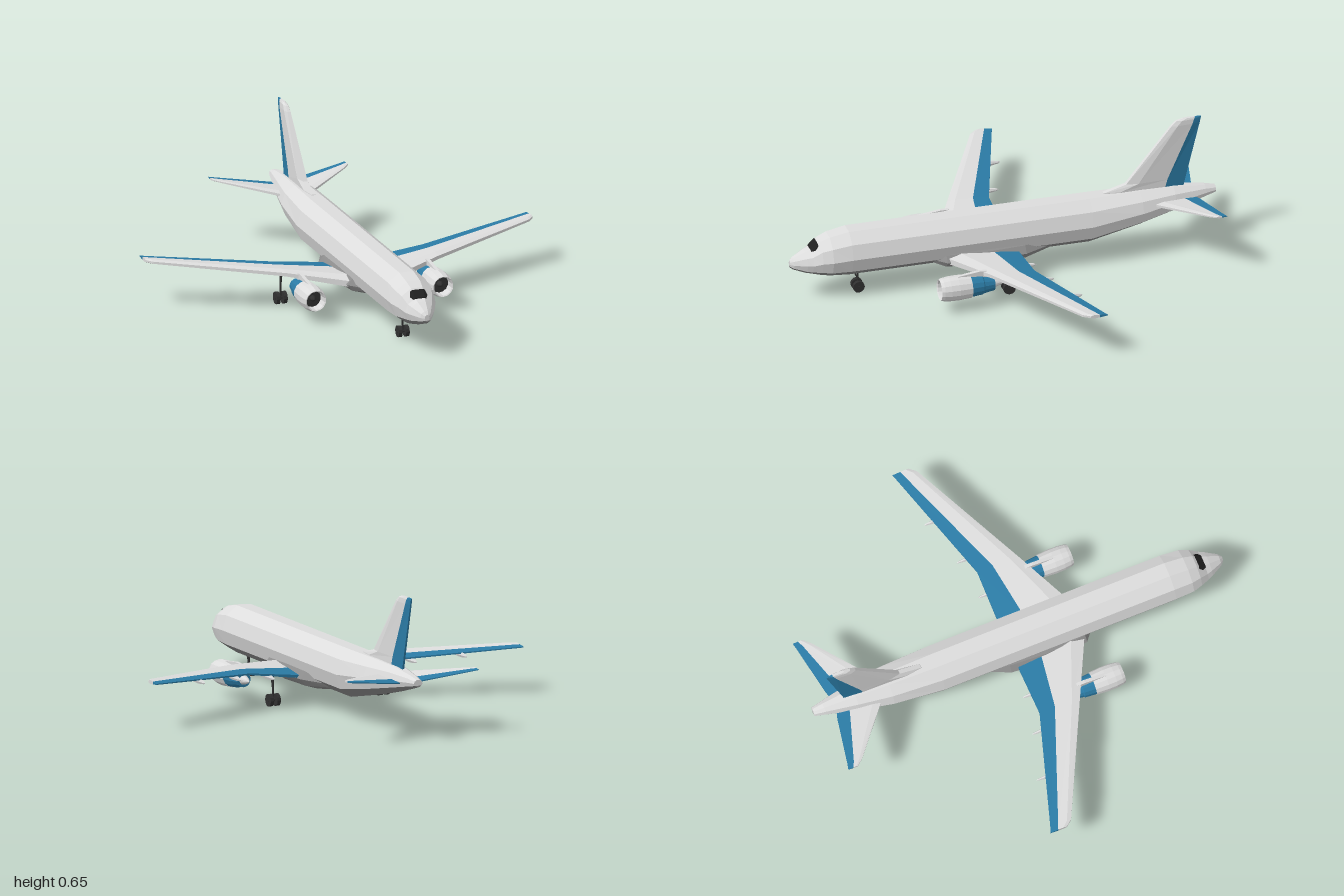
import * as THREE from 'three';

const mat = (name, color) => Object.assign(new THREE.MeshStandardMaterial({ color }), { name });
const V = (x, y, z) => new THREE.Vector3(x, y, z);

// Faceted normals for any geometry
function facet(geo) {
  const g = geo.index ? geo.toNonIndexed() : geo;
  g.computeVertexNormals();
  return g;
}

// Closed solid through rings of equal point count; faces are turned outward
function loft(rings) {
  const tris = [];
  const n = rings[0].length;
  for (let i = 0; i < rings.length - 1; i++) {
    for (let j = 0; j < n; j++) {
      const k = (j + 1) % n;
      const a = rings[i][j], b = rings[i][k], c = rings[i + 1][k], d = rings[i + 1][j];
      tris.push([a, b, c], [a, c, d]);
    }
  }
  const first = rings[0], last = rings[rings.length - 1];
  for (let j = 1; j < n - 1; j++) {
    tris.push([first[0], first[j + 1], first[j]], [last[0], last[j], last[j + 1]]);
  }
  const o = first[0];
  let volume = 0;
  for (const [a, b, c] of tris) {
    volume += a.clone().sub(o).dot(b.clone().sub(o).cross(c.clone().sub(o)));
  }
  if (volume < 0) tris.forEach((t) => t.reverse());
  return facet(new THREE.BufferGeometry().setFromPoints(tris.flat()));
}

// Ten-sided body cross-section with a flat top
const SIDES = 10;
function bodyPoint([z, hw, top, bottom], k) {
  const a = (k + 0.5) * Math.PI * 2 / SIDES;
  const hh = (top - bottom) / 2;
  return V(hw * Math.sin(a), (top + bottom) / 2 + hh * Math.cos(a) / Math.cos(Math.PI / SIDES), z);
}
const ringOf = (corners) => (s) => corners.map((k) => bodyPoint(s, k));
const upperRing = ringOf([6, 7, 8, 9, 0, 1, 2, 3]);
const lowerRing = ringOf([3, 4, 5, 6]);
const fullRing = ringOf([0, 1, 2, 3, 4, 5, 6, 7, 8, 9]);

// Flying surface: sections are [span, height, leading z, split z, trailing z, thickness]
function surface(sections, place) {
  const ring = (fn) => sections.map((s) => fn(s).map(([o, z]) => place(s[0], s[1], o, z)));
  const front = ring(([, , le, split, te, t]) => {
    const c = le - te;
    return [[0.25 * t, le], [0.5 * t, le - 0.2 * c], [0.36 * t, split],
      [-0.36 * t, split], [-0.5 * t, le - 0.2 * c], [-0.25 * t, le]];
  });
  const rear = ring(([, , , split, te, t]) =>
    [[0.36 * t, split], [0.12 * t, te], [-0.12 * t, te], [-0.36 * t, split]]);
  return [loft(front), loft(rear)];
}

export function createModel() {
  const model = new THREE.Group();
  model.name = 'airliner';
  const grey = mat('bodyGrey', 0xdcdcdc);
  const bellyGrey = mat('bellyGrey', 0x8c8c8c);
  const blue = mat('trimBlue', 0x2b7ba5);
  const black = mat('glassBlack', 0x202020);
  const dark = mat('gearDark', 0x303030);

  const add = (name, geo, material, parent = model) => {
    const m = new THREE.Mesh(geo, material);
    m.name = name;
    parent.add(m);
    return m;
  };

  // Fuselage: z, half width, top, bottom; darker underside
  const sill = [0.905, 0.072, 0.25, 0.13], brow = [0.865, 0.09, 0.287, 0.12];
  const hull = [
    [1, 0.012, 0.198, 0.165], [0.985, 0.028, 0.212, 0.155], [0.93, 0.06, 0.24, 0.135],
    sill, brow, [0.82, 0.105, 0.305, 0.112], [0.73, 0.11, 0.322, 0.105],
    [-0.4, 0.11, 0.322, 0.105], [-0.64, 0.095, 0.322, 0.157], [-0.8, 0.068, 0.317, 0.198],
    [-0.95, 0.034, 0.299, 0.24], [-1, 0.022, 0.288, 0.255],
  ];
  add('fuselage', loft(hull.map(upperRing)), grey);
  add('fuselageBelly', loft(hull.map(lowerRing)), bellyGrey);

  // Belly fairing
  add('bellyFairing', loft([
    [0.34, 0.06, 0.16, 0.106], [0.29, 0.12, 0.185, 0.093], [0.1, 0.138, 0.185, 0.085],
    [-0.08, 0.124, 0.185, 0.085], [-0.22, 0.06, 0.16, 0.106],
  ].map(fullRing)), bellyGrey);

  // Windscreen: thin plate wrapped over the nose facets, narrower at its edges
  const paneRing = ([t, wrap]) => {
    const s = sill.map((v, i) => THREE.MathUtils.lerp(v, brow[i], t));
    const [l, r] = [bodyPoint(s, 9), bodyPoint(s, 0)];
    const outer = [l.clone().lerp(bodyPoint(s, 8), wrap), l, r, r.clone().lerp(bodyPoint(s, 1), wrap)];
    const lift = (d) => outer.map((v) => v.clone().add(V(0, d, d)));
    return [...lift(0.003), ...lift(-0.002).reverse()];
  };
  add('windscreen', loft([[0.02, 0.25], [0.4, 0.42], [0.8, 0.22]].map(paneRing)), black);

  // Small cabin windows along both sides
  const windowZ = [0.71, 0.66, 0.64, 0.61, 0.40, 0.365, 0.325, 0.29, 0.255,
    0.02, -0.01, -0.045, -0.09, -0.145, -0.23, -0.315, -0.355];
  for (const side of [1, -1]) {
    for (const z of windowZ) {
      const w = add('cabinWindow', new THREE.BoxGeometry(0.002, 0.006, 0.005), black);
      w.position.set(side * 0.102, 0.235, z);
      w.rotation.z = side * 0.31;
    }
  }

  // Fin with blue rudder
  const fin = surface([
    [0.29, 0, -0.46, -0.755, -0.847, 0.04], [0.325, 0, -0.475, -0.765, -0.855, 0.04],
    [0.355, 0, -0.58, -0.773, -0.862, 0.039], [0.62, 0, -0.795, -0.892, -0.928, 0.03],
    [0.642, 0, -0.82, -0.9, -0.933, 0.024], [0.65, 0, -0.85, -0.905, -0.935, 0.014],
  ], (s, c, o, z) => V(c + o, s, z));
  add('fin', fin[0], grey);
  add('rudder', fin[1], blue);

  for (const side of [1, -1]) {
    const label = side > 0 ? 'left' : 'right';
    const place = (s, c, o, z) => V(side * s, c + o, z);

    // Main wing with blue trailing panels
    const wing = surface([
      [0.06, 0.137, 0.305, 0.075, -0.045, 0.06], [0.11, 0.141, 0.28, 0.07, -0.045, 0.056],
      [0.366, 0.175, 0.153, 0.03, -0.045, 0.032], [0.905, 0.211, -0.115, -0.178, -0.216, 0.02],
      [0.93, 0.213, -0.145, -0.188, -0.225, 0.018],
    ], place);
    add(label + 'Wing', wing[0], grey);
    add(label + 'Flaps', wing[1], blue);

    // Tailplane with blue elevator
    const tail = surface([
      [0.02, 0.256, -0.655, -0.835, -0.895, 0.026], [0.07, 0.262, -0.695, -0.848, -0.91, 0.024],
      [0.3, 0.294, -0.885, -0.925, -0.956, 0.012], [0.327, 0.298, -0.915, -0.938, -0.963, 0.01],
    ], place);
    add(label + 'Tailplane', tail[0], grey);
    add(label + 'Elevator', tail[1], blue);

    // Flap track fairings
    for (const [x, y, aft] of [[0.26, 0.15, -0.085], [0.445, 0.168, -0.115], [0.663, 0.186, -0.185]]) {
      const f = add('flapFairing', facet(new THREE.SphereGeometry(1, 6, 6).rotateX(Math.PI / 2)), grey);
      f.scale.set(0.009, 0.013, 0.075);
      f.position.set(side * x, y, aft + 0.075);
    }

    // Engine: revolved parts along z
    const engine = new THREE.Group();
    engine.name = label + 'Engine';
    engine.position.set(side * 0.306, 0.112, 0);
    model.add(engine);
    const spin = (name, pts, material) => add(name, facet(new THREE.LatheGeometry(
      pts.map(([r, z]) => new THREE.Vector2(r, z)), 14).rotateX(Math.PI / 2)), material, engine);
    spin('nacelle', [[0.046, 0.238], [0.054, 0.24], [0.058, 0.3], [0.057, 0.34], [0.053, 0.37],
      [0.048, 0.384], [0.043, 0.38], [0.041, 0.33]], grey);
    spin('coreCowl', [[0, 0.13], [0.034, 0.13], [0.042, 0.18], [0.046, 0.185], [0.051, 0.242]], blue);
    spin('exhaustCone', [[0, 0.075], [0.012, 0.095], [0.023, 0.132]], grey);
    spin('fan', [[0.042, 0.334], [0, 0.336]], dark);
    spin('fanHub', [[0.015, 0.334], [0.01, 0.352], [0, 0.362]], dark);

    // Pylon between engine and wing
    const pylon = [[0.31, 0.16, 0.168], [0.2, 0.15, 0.182], [0.08, 0.148, 0.178], [0.0, 0.155, 0.17]];
    add(label + 'Pylon', loft(pylon.map(([z, lo, hi]) =>
      [[-1, lo], [1, lo], [1, hi], [-1, hi]].map(([k, y]) => V(side * 0.306 + k * 0.008, y, z)))), grey);
  }

  // Landing gear: twin wheels, leg and slanted brace
  const gear = (name, x, z, r, top) => {
    const g = new THREE.Group();
    g.name = name;
    g.position.set(x, 0, z);
    model.add(g);
    const rod = (part, a, b, radius) => {
      const d = b.clone().sub(a);
      const m = add(part, new THREE.CylinderGeometry(radius, radius, d.length(), 6), dark, g);
      m.position.copy(a).lerp(b, 0.5);
      m.quaternion.setFromUnitVectors(V(0, 1, 0), d.normalize());
    };
    for (const k of [1, -1]) {
      const tyre = facet(new THREE.CylinderGeometry(r, r, 0.017, 12).rotateZ(Math.PI / 2));
      add('tyre', tyre, dark, g).position.set(k * 0.017, r, 0);
    }
    rod('axle', V(-0.027, r, 0), V(0.027, r, 0), 0.006);
    rod('leg', V(0, r, 0), V(0, top, 0), 0.005);
    rod('brace', V(0, r + 0.035, 0), V(0, top, 0.025), 0.003);
  };
  gear('noseGear', 0, 0.68, 0.027, 0.112);
  gear('leftMainGear', 0.208, 0.032, 0.029, 0.155);
  gear('rightMainGear', -0.348, 0.032, 0.029, 0.172);

  return model;
}
